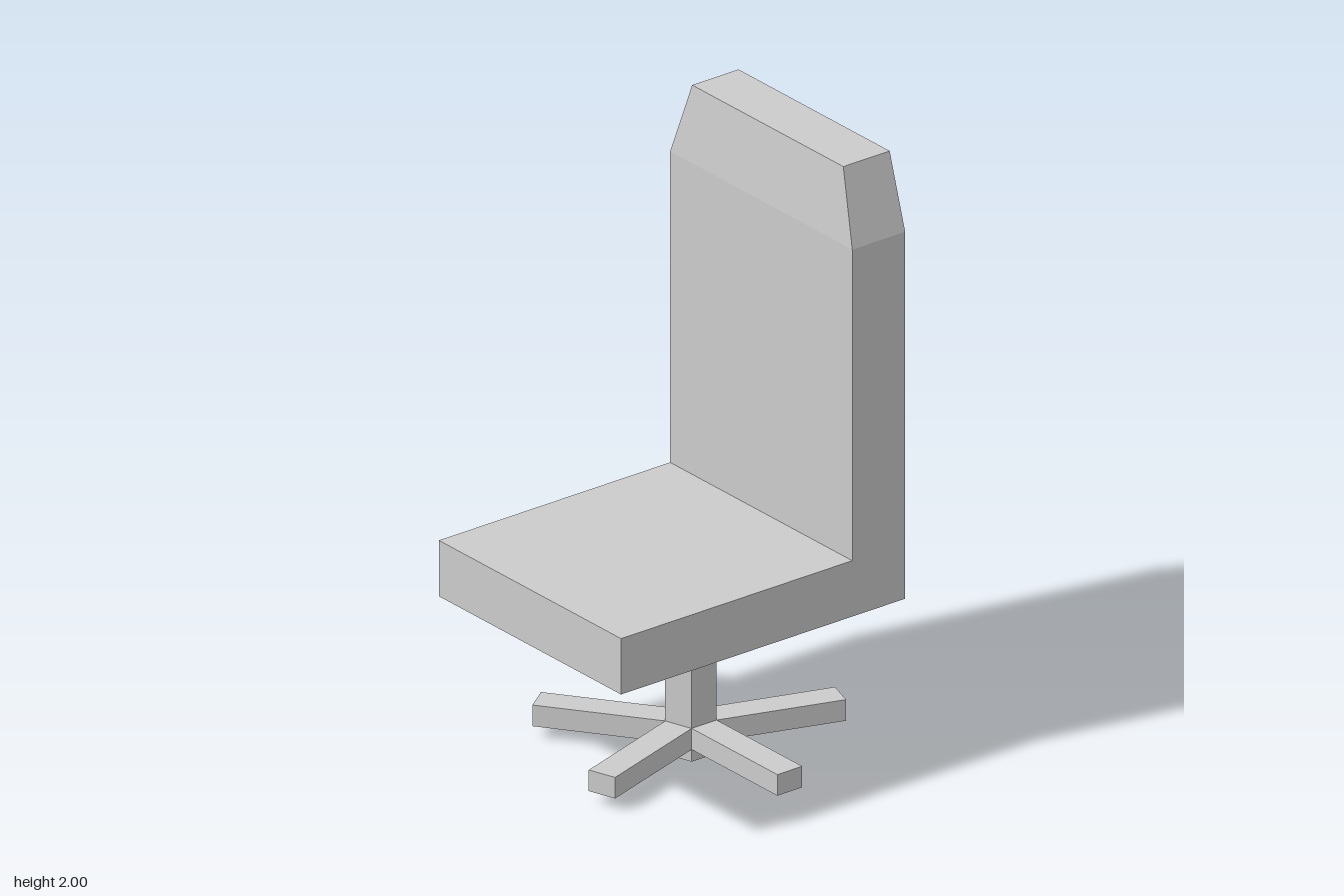
import * as THREE from 'three';

const material = new THREE.MeshStandardMaterial({ color: 0xcccccc, flatShading: true });

function addMesh(parent, name, geometry, x, y, z) {
  const mesh = new THREE.Mesh(geometry, material);
  mesh.name = name;
  mesh.position.set(x, y, z);
  parent.add(mesh);
  return mesh;
}

// Upright slab whose top section narrows at both sides and leans back at the face
function backrestGeometry(width, height, depth, bend, taper, lean) {
  const geo = new THREE.BoxGeometry(width, height, depth, 1, 2, 1);
  const p = geo.attributes.position;
  for (let i = 0; i < p.count; i++) {
    const y = p.getY(i);
    if (Math.abs(y) < 1e-6) {
      p.setY(i, bend - height / 2);
    } else if (y > 0) {
      p.setZ(i, p.getZ(i) - Math.sign(p.getZ(i)) * taper);
      if (p.getX(i) < 0) p.setX(i, p.getX(i) + lean);
    }
  }
  const flat = geo.toNonIndexed();
  flat.computeVertexNormals();
  return flat;
}

export function createModel() {
  const chair = new THREE.Group();
  chair.name = 'swivelChair';

  // Seat and backrest, with the backrest on the +x side
  const depth = 0.88, midZ = -0.003;
  const seatBottom = 0.545, seatTop = 0.73;
  const seatFront = -0.555, backFace = 0.328, rear = 0.53;
  addMesh(chair, 'seat', new THREE.BoxGeometry(rear - seatFront, seatTop - seatBottom, depth),
    (rear + seatFront) / 2, (seatTop + seatBottom) / 2, midZ);
  const backHeight = 2 - seatTop;
  addMesh(chair, 'backrest',
    backrestGeometry(rear - backFace, backHeight, depth, 1.76 - seatTop, 0.075, 0.025),
    (rear + backFace) / 2, seatTop + backHeight / 2, midZ);

  // Five-sided post with one leg growing out of each face
  const base = new THREE.Group();
  base.name = 'base';
  base.position.set(0.083, 0, -0.034);
  chair.add(base);
  const radius = 0.081, legEnd = 0.479;
  addMesh(base, 'post',
    new THREE.CylinderGeometry(radius, radius, seatBottom, 5, 1, false, Math.PI / 5),
    0, seatBottom / 2, 0);

  const legStart = radius * Math.cos(Math.PI / 5);
  const legGeo = new THREE.BoxGeometry(0.095, 0.07, legEnd - legStart);
  legGeo.translate(0, 0, (legEnd + legStart) / 2);
  for (let i = 0; i < 5; i++) {
    addMesh(base, 'leg' + (i + 1), legGeo, 0, 0.075, 0).rotation.y = (i * Math.PI * 2) / 5;
  }

  return chair;
}
